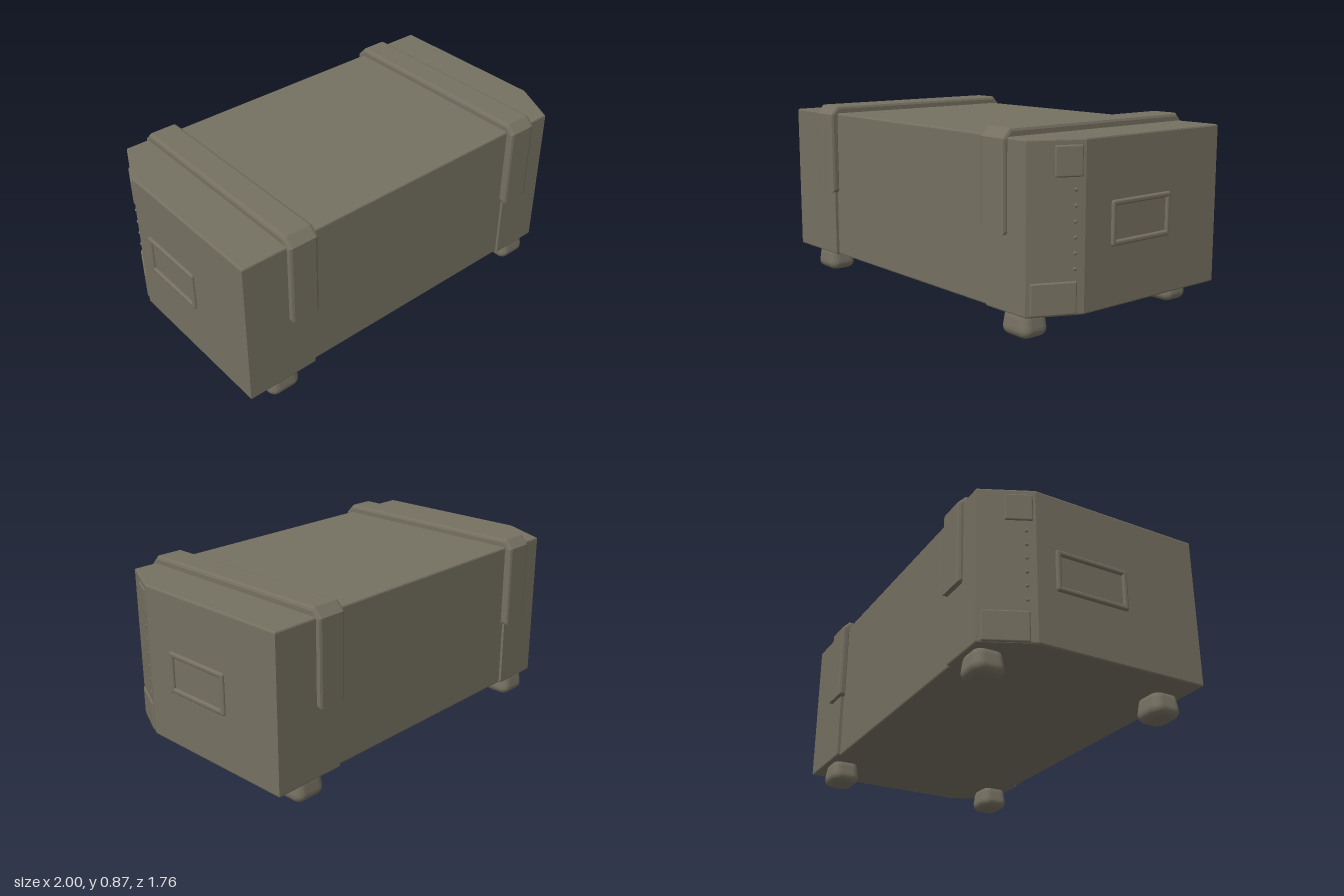
import * as THREE from 'three';
import { RoundedBoxGeometry } from 'three/addons/geometries/RoundedBoxGeometry.js';

const TURN = THREE.MathUtils.degToRad(25); // the crate stands at an angle

export function createModel() {
  const root = new THREE.Group();
  root.name = 'crate';
  const crate = new THREE.Group();
  crate.name = 'crateBody';
  crate.rotation.y = TURN;
  root.add(crate);

  const wood = new THREE.MeshStandardMaterial({ color: 0x757061 });
  wood.name = 'weathered olive wood';

  const add = (parent, name, geometry, x = 0, y = 0, z = 0) => {
    const mesh = new THREE.Mesh(geometry, wood);
    mesh.name = name;
    mesh.position.set(x, y, z);
    parent.add(mesh);
    return mesh;
  };
  const shapeOf = (points) => new THREE.Shape(points.map(([x, y]) => new THREE.Vector2(x, y)));
  const extrude = (shape, depth, bevel) => new THREE.ExtrudeGeometry(shape, {
    depth: depth - 2 * bevel, bevelEnabled: true, bevelSize: bevel,
    bevelThickness: bevel, bevelOffset: -bevel, bevelSegments: 2,
  }).translate(0, 0, bevel);

  // Box: footprint with two opposite corners cut off, ends a little wider than the middle
  const half = [[0.6, -0.512], [0.6, -0.528], [0.955, -0.528], [0.955, 0.3],
    [0.848, 0.525], [0.6, 0.525], [0.6, 0.512]];
  const outline = [...half, ...half.map(([x, z]) => [-x, -z])];
  const box = extrude(shapeOf(outline.map(([x, z]) => [x, -z])), 0.725, 0.008);
  add(crate, 'box', box.rotateX(-Math.PI / 2), 0, 0.105, 0);

  // Straps: over the lid and halfway down both long walls
  const strapShape = shapeOf([[-0.548, 0.43], [-0.5, 0.43], [-0.5, 0.8], [0.5, 0.8], [0.5, 0.43],
    [0.548, 0.43], [0.548, 0.825], [0.51, 0.866], [-0.51, 0.866], [-0.548, 0.825]]);
  for (const side of [-1, 1]) {
    const strap = extrude(strapShape, 0.15, 0.015).translate(0, 0, -0.075).rotateY(Math.PI / 2);
    add(crate, side < 0 ? 'rightStrap' : 'leftStrap', strap, side * 0.66, 0, 0);
  }

  // Shallow handle frames on the end walls
  for (const side of [-1, 1]) {
    const handle = new THREE.Group();
    handle.name = 'handle';
    handle.position.set(side * 0.955, 0.465, -0.03);
    crate.add(handle);
    for (const s of [-1, 1]) {
      add(handle, 'handleRail', new RoundedBoxGeometry(0.024, 0.025, 0.36, 2, 0.01), 0, s * 0.085, 0);
      add(handle, 'handlePost', new RoundedBoxGeometry(0.024, 0.19, 0.025, 2, 0.01), 0, 0, s * 0.168);
    }
  }

  // Feet: squat stumps, wider toward the floor
  for (const sx of [-1, 1]) for (const sz of [-1, 1]) {
    const foot = new RoundedBoxGeometry(0.17, 0.13, 0.15, 4, 0.045);
    const p = foot.attributes.position;
    for (let i = 0; i < p.count; i++) {
      const k = 0.92 - p.getY(i) * 1.6;
      p.setXYZ(i, p.getX(i) * k, p.getY(i), p.getZ(i) * k);
    }
    foot.computeVertexNormals();
    add(crate, 'foot', foot, sx * 0.75, 0.065, sz * 0.44);
  }

  // Cut corners: broken patches and a row of nails
  for (const side of [-1, 1]) {
    const corner = new THREE.Group();
    corner.name = 'cutCorner';
    corner.rotation.y = side < 0 ? Math.PI : 0;
    root.add(corner);
    add(corner, 'upperPatch', new RoundedBoxGeometry(0.02, 0.13, 0.12, 2, 0.008), 0.988, 0.74, -0.06);
    add(corner, 'lowerPatch', new RoundedBoxGeometry(0.02, 0.14, 0.2, 2, 0.008), 0.988, 0.18, 0);
    for (let i = 0; i < 6; i++) {
      add(corner, 'nail', new THREE.SphereGeometry(0.009, 8, 6), 0.989, 0.3 + i * 0.065, -0.09);
    }
  }
  return root;
}
